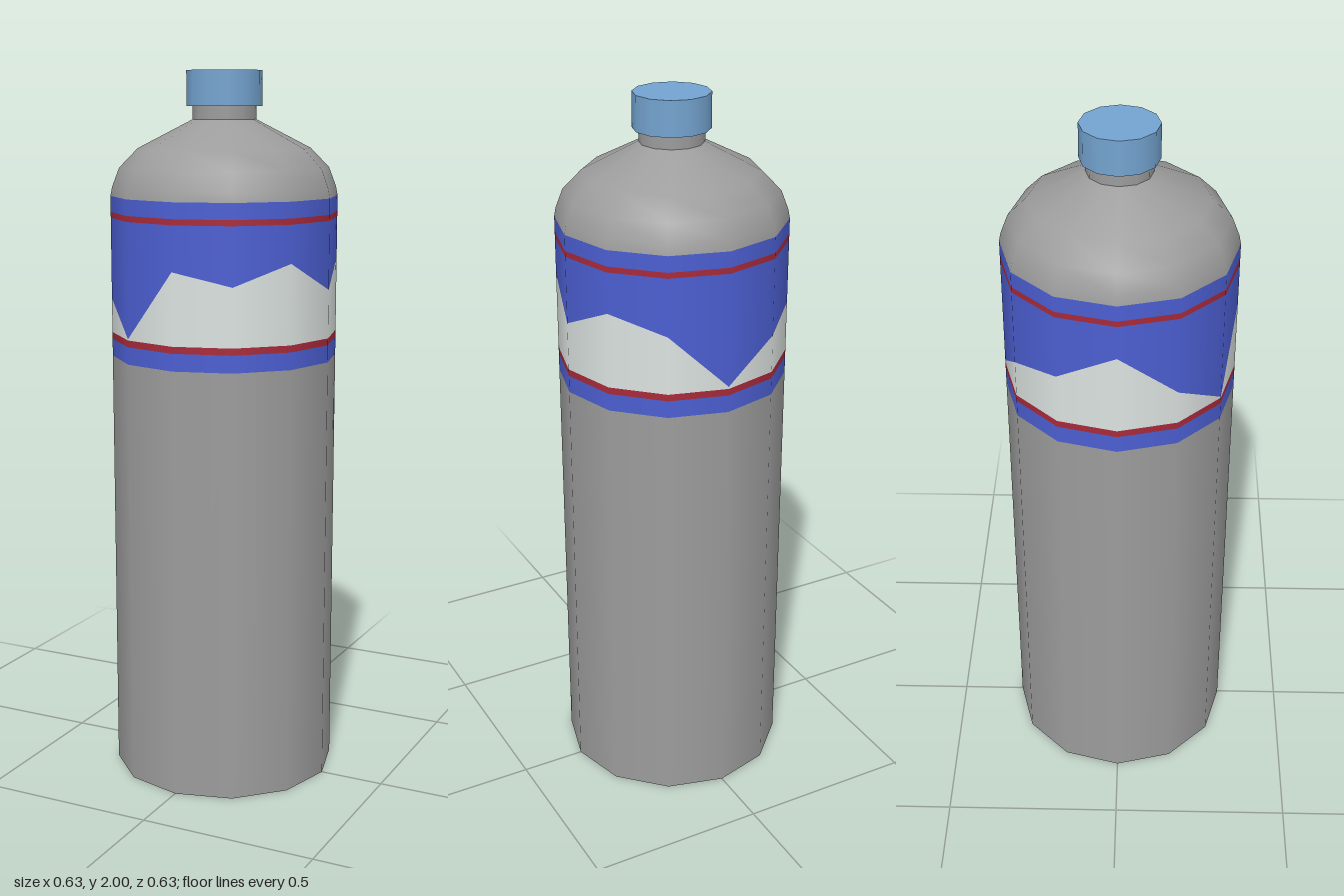
import * as THREE from 'three';

const SIDES = 12;
const R = 0.317;

const material = (name, color) => {
  const m = new THREE.MeshStandardMaterial({ color });
  m.name = name;
  return m;
};

// Open twelve-sided band; each edge is one height or a list of heights per corner,
// counted from the front (+z) towards +x
function bandGeometry(bottom, top) {
  const geometry = new THREE.CylinderGeometry(R, R, 1, SIDES, 1, true);
  const pos = geometry.attributes.position;
  const at = (edge, i) => (Array.isArray(edge) ? edge[i % SIDES] : edge);
  for (let i = 0; i <= SIDES; i++) {
    pos.setY(i, at(top, i));
    pos.setY(i + SIDES + 1, at(bottom, i));
  }
  return geometry;
}

export function createModel() {
  const model = new THREE.Group();
  model.name = 'bottle';

  const grey = material('bottle grey', 0x9c9c9c);
  const blue = material('label blue', 0x4c5fd2);
  const white = material('label white', 0xdce3e0);
  const red = material('label red', 0xa82a3a);
  const capBlue = material('cap blue', 0x74a4d0);

  const add = (name, geometry, mat, y = 0) => {
    const mesh = new THREE.Mesh(geometry, mat);
    mesh.name = name;
    mesh.position.y = y;
    model.add(mesh);
    return mesh;
  };

  // Straight lower body and its base
  add('body', bandGeometry(0, 1.212), grey);
  add('base', new THREE.CircleGeometry(R, SIDES), grey).rotation.x = Math.PI / 2;

  // Wrap-around label, stacked from bottom to top, with a mountain ridge
  const ridge = [1.477, 1.44, 1.497, 1.413, 1.487, 1.44, 1.285, 1.385, 1.42, 1.505, 1.375, 1.282];
  add('labelLowerBorder', bandGeometry(1.212, 1.26), blue);
  add('labelLowerStripe', bandGeometry(1.26, 1.279), red);
  add('labelMountains', bandGeometry(1.279, ridge), white);
  add('labelSky', bandGeometry(ridge, 1.6), blue);
  add('labelUpperStripe', bandGeometry(1.6, 1.616), red);
  add('labelUpperBorder', bandGeometry(1.616, 1.66), blue);

  // Rounded shoulder
  const shoulder = [[R, 1.66], [0.312, 1.685], [0.292, 1.737], [0.24, 1.79], [0.088, 1.868]];
  add('shoulder', new THREE.LatheGeometry(shoulder.map(([x, y]) => new THREE.Vector2(x, y)), SIDES), grey);

  // Neck and screw cap
  add('neck', new THREE.CylinderGeometry(0.088, 0.088, 0.045, SIDES, 1, true), grey, 1.885);
  add('cap', new THREE.CylinderGeometry(0.105, 0.105, 0.096, SIDES), capBlue, 1.952);

  return model;
}
